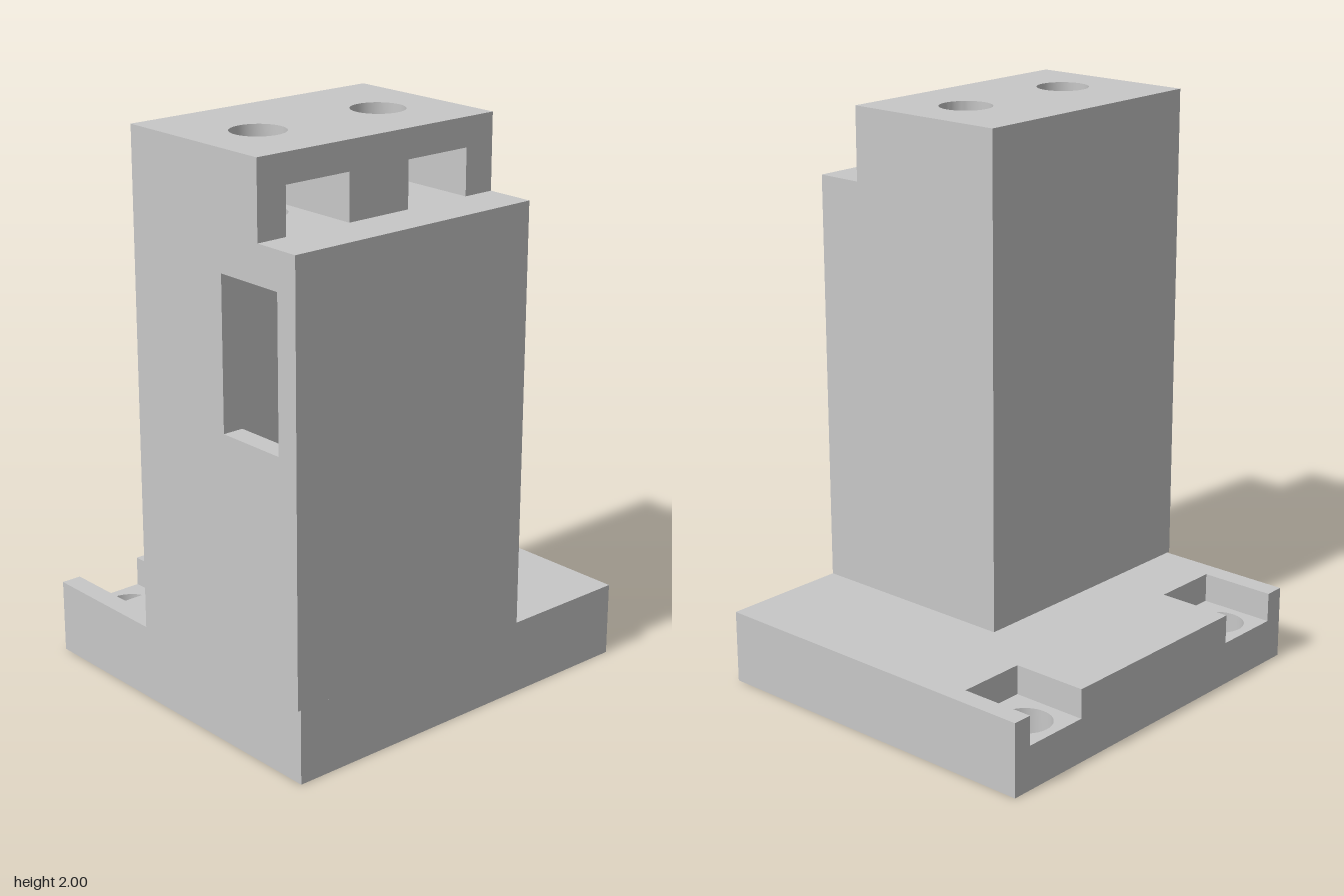
import * as THREE from 'three';
import { toCreasedNormals } from 'three/addons/utils/BufferGeometryUtils.js';

const rect = (x0, x1, z0, z1) => [[x0, z0], [x1, z0], [x1, z1], [x0, z1]];

// Closed anticlockwise outline from [x, z] points
const trace = (path, pts) => {
  path.setFromPoints(pts.map(([x, z]) => new THREE.Vector2(x, -z)).reverse());
  path.closePath();
  return path;
};

// Round screw hole
const bore = (x, z) => new THREE.Path().absarc(x, -z, 0.092, 0, Math.PI * 2, true);

export function createModel() {
  const group = new THREE.Group();
  const grey = new THREE.MeshStandardMaterial({ color: 0xc8c8c8 });
  grey.name = 'grey';

  // Horizontal layer between two heights, with holes as point lists or paths
  const layer = (name, y0, y1, outline, holes = []) => {
    const shape = trace(new THREE.Shape(), outline);
    shape.holes = holes.map(h => (Array.isArray(h) ? trace(new THREE.Path(), h) : h));
    let geo = new THREE.ExtrudeGeometry(shape, { depth: y1 - y0, bevelEnabled: false, curveSegments: 24 });
    geo.rotateX(-Math.PI / 2);
    geo.translate(0, y0, 0);
    geo = toCreasedNormals(geo, 0.6);
    const mesh = new THREE.Mesh(geo, grey);
    mesh.name = name;
    group.add(mesh);
  };

  // Base: hollow underneath, with open nut pockets at two corners
  const B = { x0: -0.65, x1: 0.65, z0: -0.724, z1: 0.712 };
  const baseRect = rect(B.x0, B.x1, B.z0, B.z1);
  const baseNotched = [
    [B.x0, B.z0], [B.x1, B.z0], [B.x1, B.z1], [B.x0, B.z1],
    [B.x0, 0.64], [-0.375, 0.64], [-0.375, 0.387], [B.x0, 0.387],
    [B.x0, -0.4], [-0.375, -0.4], [-0.375, -0.653], [B.x0, -0.653],
  ];
  const baseCavity = [
    [0.567, -0.655], [0.567, 0.65], [-0.315, 0.65], [-0.315, 0.325],
    [-0.585, 0.325], [-0.585, -0.34], [-0.315, -0.34], [-0.315, -0.655],
  ];
  const shaft = rect(-0.08, 0.567, -0.19, 0.65);
  layer('baseFloor', 0, 0.157, baseRect, [baseCavity, bore(-0.523, -0.53), bore(-0.523, 0.515)]);
  layer('baseWalls', 0.157, 0.2, baseNotched, [baseCavity]);
  layer('baseTop', 0.2, 0.262, baseNotched, [shaft]);

  // Tower: hollow shaft with a window through the front wall
  const T = { x0: -0.14, x1: 0.65, z0: -0.255, z1: 0.724 };
  const towerRect = rect(T.x0, T.x1, T.z0, T.z1);
  const screws = () => [bore(0.195, -0.016), bore(0.195, 0.485)];
  layer('towerLower', 0.262, 1.09, towerRect, [shaft]);
  layer('towerWindow', 1.09, 1.61, [
    [T.x0, T.z0], [T.x1, T.z0], [T.x1, T.z1], [0.567, T.z1],
    [0.567, -0.19], [-0.08, -0.19], [-0.08, 0.65], [0.302, 0.65], [0.302, T.z1], [T.x0, T.z1],
  ]);
  layer('towerShelf', 1.61, 1.74, towerRect, screws());

  // Head: set back at one side, with two nut slots opening onto the shelf
  const hx = 0.478, sx = 0.07;
  layer('headSlots', 1.74, 1.9, [
    [T.x0, T.z0], [hx, T.z0],
    [hx, -0.14], [sx, -0.14], [sx, 0.113], [hx, 0.113],
    [hx, 0.36], [sx, 0.36], [sx, 0.613], [hx, 0.613],
    [hx, T.z1], [T.x0, T.z1],
  ]);
  layer('headTop', 1.9, 2, rect(T.x0, hx, T.z0, T.z1), screws());

  return group;
}
